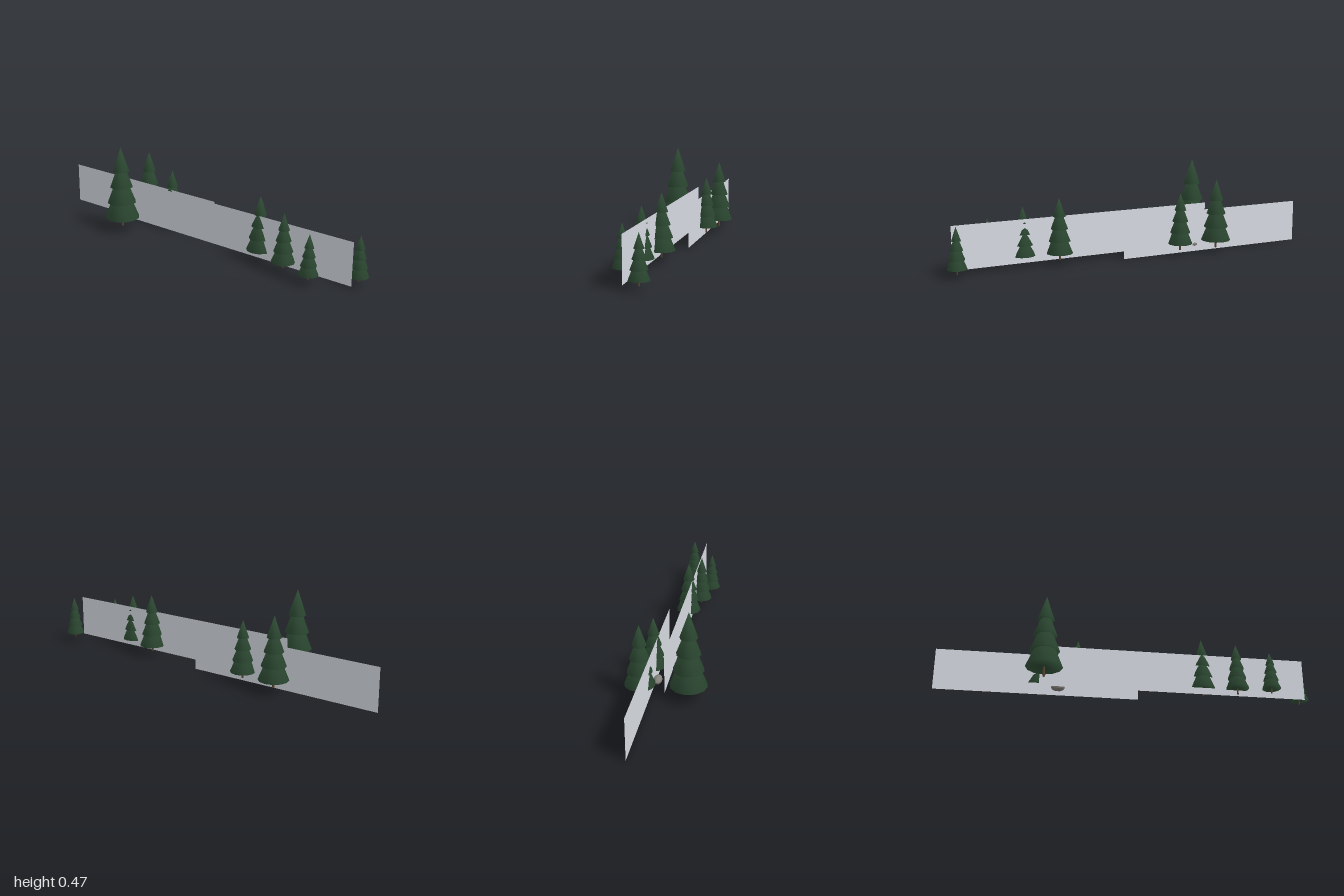
import * as THREE from 'three';
import { mergeVertices } from 'three/addons/utils/BufferGeometryUtils.js';

const material = (name, color, extra = {}) => {
  const m = new THREE.MeshStandardMaterial({ color, ...extra });
  m.name = name;
  return m;
};

// Cone whose normals blend softly around the bottom rim
const softCone = (radius, height) => {
  const cone = new THREE.ConeGeometry(radius, height, 12);
  cone.deleteAttribute('normal');
  cone.deleteAttribute('uv');
  const soft = mergeVertices(cone, 1e-4);
  soft.computeVertexNormals();
  return soft;
};

export function createModel() {
  const needles = material('pine green', 0x2d4a33);
  const bark = material('bark brown', 0x584431);
  const stone = material('stone grey', 0x84817b, { flatShading: true });
  const mist = material('mist grey', 0xd8dde4, { side: THREE.DoubleSide });

  const model = new THREE.Group();
  const ground = 0.022;

  const add = (parent, name, geometry, mat, x, y, z) => {
    const mesh = new THREE.Mesh(geometry, mat);
    mesh.name = name;
    mesh.position.set(x, y, z);
    parent.add(mesh);
    return mesh;
  };

  // Pine of unit height: [base height, radius, cone height] for each tier
  const tiers = [
    [0.114, 0.212, 0.52],
    [0.309, 0.174, 0.44],
    [0.504, 0.137, 0.37],
    [0.7, 0.1, 0.3],
  ];
  const trunkGeometry = new THREE.CylinderGeometry(0.012, 0.016, 0.3, 6);
  const tierGeometries = tiers.map(([, r, h]) => softCone(r, h));

  const addPine = (x, z, height) => {
    const pine = new THREE.Group();
    pine.name = 'pineTree';
    add(pine, 'trunk', trunkGeometry, bark, 0, 0.15, 0);
    tiers.forEach(([y, , h], i) =>
      add(pine, 'branchTier', tierGeometries[i], needles, 0, y + h / 2, 0));
    pine.position.set(x, ground, z);
    pine.scale.setScalar(height);
    model.add(pine);
  };

  // Pines: x, z, height
  [
    [-0.442, 0.112, 0.452],
    [-0.458, -0.129, 0.371],
    [-0.255, -0.1, 0.309],
    [0.404, -0.027, 0.324],
    [0.582, 0.02, 0.286],
    [0.755, 0.058, 0.234],
    [0.95, -0.08, 0.236],
  ].forEach((p) => addPine(...p));

  // Boulder between the left pines
  const rock = add(model, 'rock', new THREE.IcosahedronGeometry(1, 1), stone, -0.359, 0.037, -0.058);
  rock.scale.set(0.037, 0.021, 0.022);

  // Upright mist sheets, one behind the other
  add(model, 'backMistSheet', new THREE.PlaneGeometry(1.065, 0.225), mist, -0.4675, 0.1125, -0.077);
  add(model, 'frontMistSheet', new THREE.PlaneGeometry(1.415, 0.225), mist, 0.248, 0.1345, -0.006);

  return model;
}
